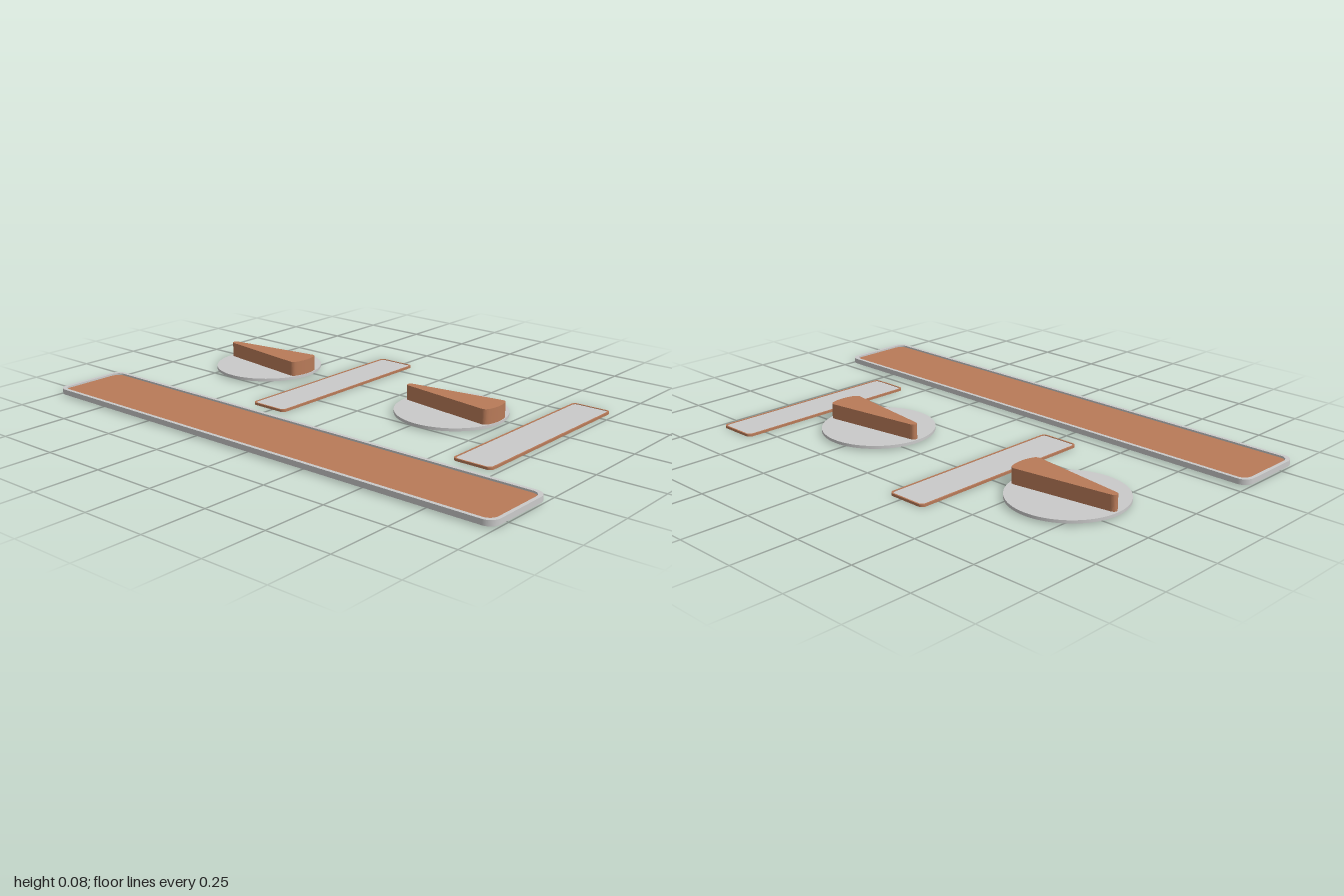
import * as THREE from 'three';

const copper = new THREE.MeshStandardMaterial({ name: 'copper', color: 0xb87a58 });
const silver = new THREE.MeshStandardMaterial({ name: 'silver', color: 0xcacaca });

// Rounded rectangle centred on the origin
function roundedRect(w, d, r, PathType = THREE.Shape) {
  const x = w / 2, y = d / 2, q = Math.PI / 2;
  const p = new PathType();
  p.moveTo(-x + r, -y);
  p.absarc(x - r, -y + r, r, -q, 0);
  p.absarc(x - r, y - r, r, 0, q);
  p.absarc(-x + r, y - r, r, q, 2 * q);
  p.absarc(-x + r, -y + r, r, 2 * q, 3 * q);
  p.closePath();
  return p;
}

// Flat outline raised from y0 to y1; the outline's y becomes -z
function slab(name, shape, y0, y1, material) {
  const geo = new THREE.ExtrudeGeometry(shape, { depth: y1 - y0, bevelEnabled: false, curveSegments: 10 });
  geo.rotateX(-Math.PI / 2).translate(0, y0, 0);
  const mesh = new THREE.Mesh(geo, material);
  mesh.name = name;
  return mesh;
}

// Base plate with a thin raised rim around an inlaid panel
function framedPlate(name, o) {
  const g = new THREE.Group();
  g.name = name;
  const iw = o.w - 2 * o.rim, id = o.d - 2 * o.rim, ir = o.r - o.rim * 0.5;
  const rim = roundedRect(o.w, o.d, o.r);
  rim.holes.push(roundedRect(iw, id, ir, THREE.Path));
  g.add(
    slab('base', roundedRect(o.w, o.d, o.r), o.y0, o.floor, o.frame),
    slab('rim', rim, o.floor, o.y1, o.frame),
    slab('inlay', roundedRect(iw, id, ir), o.floor, o.floor + 0.001, o.inlay)
  );
  g.position.set(o.x, 0, o.z);
  return g;
}

// Round dial with a tapered pointer, wide towards the front
function dial(x, z) {
  const g = new THREE.Group();
  g.name = 'dial';
  const disc = new THREE.Mesh(new THREE.CylinderGeometry(0.21, 0.21, 0.011, 72), silver);
  disc.name = 'disc';
  disc.position.y = 0.0125;

  const s = new THREE.Shape();
  s.moveTo(-0.014, 0.188);
  s.lineTo(-0.065, -0.178);
  s.quadraticCurveTo(-0.066, -0.194, -0.048, -0.2);
  s.quadraticCurveTo(0, -0.215, 0.048, -0.2);
  s.quadraticCurveTo(0.066, -0.194, 0.065, -0.178);
  s.lineTo(0.014, 0.188);
  s.bezierCurveTo(0.011, 0.206, -0.011, 0.206, -0.014, 0.188);
  g.add(disc, slab('pointer', s, 0.0062, 0.075, copper));
  g.position.set(x, 0, z);
  return g;
}

export function createModel() {
  const model = new THREE.Group();
  model.name = 'controlPanel';

  // Long tray on the right-hand side
  model.add(framedPlate('longTray', {
    x: -0.433, z: 0, w: 0.294, d: 2, r: 0.04, rim: 0.014,
    y0: 0.006, floor: 0.018, y1: 0.026, frame: silver, inlay: copper,
  }));

  // Two dials, each with a bar in front
  for (const [dialZ, barZ] of [[-0.632, -0.271], [0.285, 0.646]]) {
    model.add(dial(0.193, dialZ));
    model.add(framedPlate('bar', {
      x: 0.193, z: barZ, w: 0.765, d: 0.156, r: 0.018, rim: 0.006,
      y0: 0, floor: 0.006, y1: 0.009, frame: copper, inlay: silver,
    }));
  }
  return model;
}
